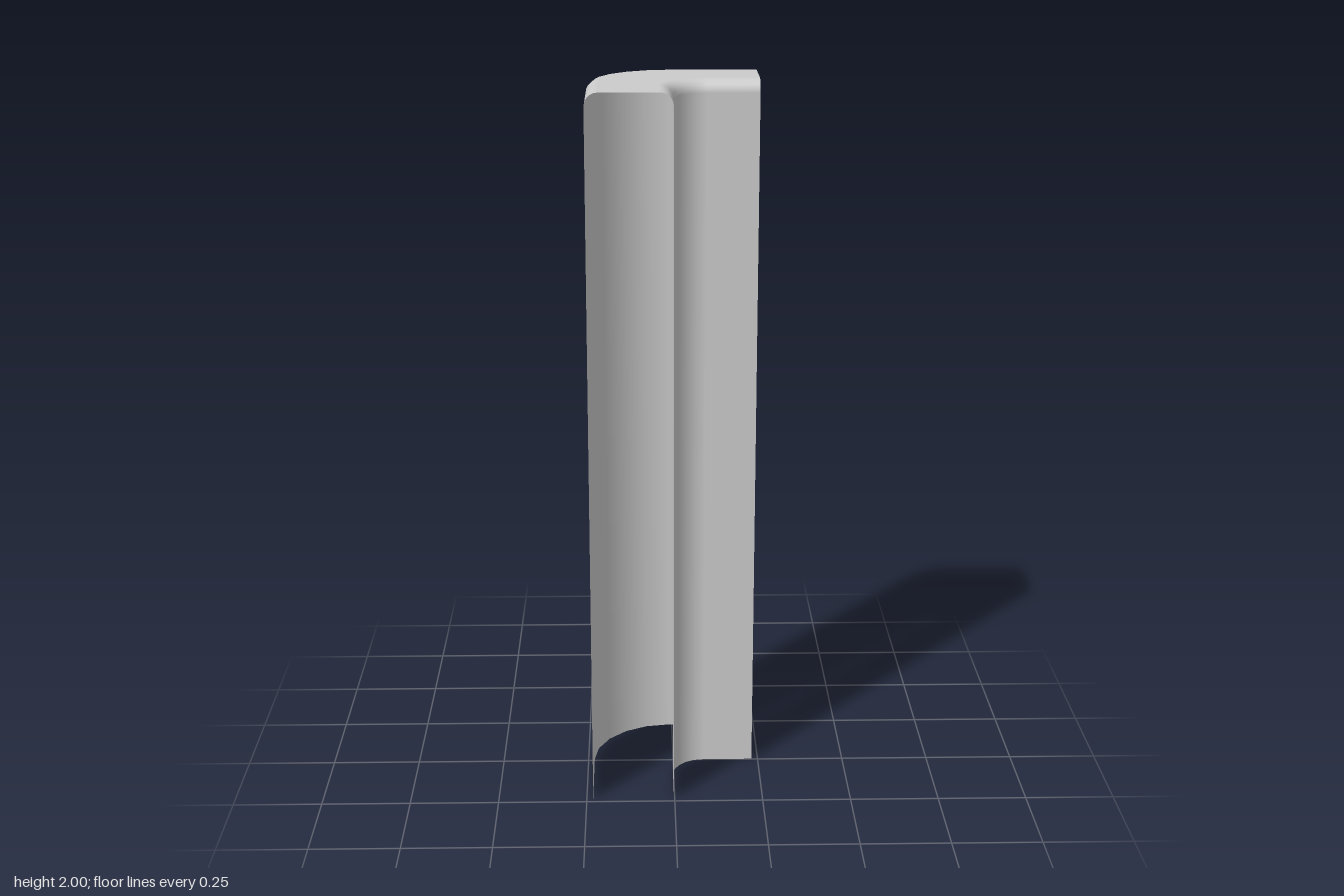
import * as THREE from 'three';

const HEIGHT = 2, END = 0.232, FILLET = 0.036, ARC_STEPS = 5, FILLET_STEPS = 5;
const OUTER = { c: -0.008, r: 0.224 }; // bend centre (x = z = c) and radius
const INNER = { c: 0.09, r: 0.092 };

// Stations along the bend: outer point, inner point and outward direction
function buildStations() {
  const stations = [];
  for (let i = 0; i <= ARC_STEPS; i++) {
    const a = (i / ARC_STEPS) * Math.PI / 2;
    const dir = new THREE.Vector2(-Math.cos(a), -Math.sin(a));
    const at = ({ c, r }) => new THREE.Vector2(c, c).addScaledVector(dir, r);
    stations.push({ dir, outer: at(OUTER), inner: at(INNER) });
  }
  // straight legs out to the two open ends
  const extend = (s, axis) => {
    const e = { dir: s.dir, outer: s.outer.clone(), inner: s.inner.clone() };
    e.outer[axis] = e.inner[axis] = END;
    return e;
  };
  return [extend(stations[0], 'y'), ...stations, extend(stations[ARC_STEPS], 'x')];
}

// Upside-down U section: d = distance in from the wall, y = height, (n, ny) = normal
function buildProfile() {
  const half = [{ d: 0, y: 0, n: 1, ny: 0 }];
  for (let i = 0; i <= FILLET_STEPS; i++) {
    const a = (i / FILLET_STEPS) * Math.PI / 2;
    half.push({
      d: FILLET * (1 - Math.cos(a)), y: HEIGHT - FILLET * (1 - Math.sin(a)),
      n: Math.cos(a), ny: Math.sin(a),
    });
  }
  const mirrored = half.slice().reverse().map(p => ({ ...p, n: -p.n, isInner: true }));
  return [...half, ...mirrored];
}

function sweepShell() {
  const stations = buildStations(), profile = buildProfile();
  const positions = [], normals = [], index = [], m = profile.length;
  stations.forEach(({ dir, outer, inner }, i) => {
    profile.forEach((p, j) => {
      const base = p.isInner ? inner : outer;
      const shift = p.isInner ? p.d : -p.d;
      positions.push(base.x + dir.x * shift, p.y, base.y + dir.y * shift);
      normals.push(dir.x * p.n, p.ny, dir.y * p.n);
      if (i > 0 && j > 0) {
        const b = i * m + j, a = b - m;
        index.push(a - 1, a, b - 1, a, b, b - 1);
      }
    });
  });
  const geometry = new THREE.BufferGeometry();
  geometry.setAttribute('position', new THREE.Float32BufferAttribute(positions, 3));
  geometry.setAttribute('normal', new THREE.Float32BufferAttribute(normals, 3));
  geometry.setIndex(index);
  return geometry;
}

export function createModel() {
  const group = new THREE.Group();
  group.name = 'cornerWall';
  // Thin curved wall shell, open at both ends and underneath
  const shell = new THREE.Mesh(
    sweepShell(),
    new THREE.MeshStandardMaterial({ color: 0xcccccc, side: THREE.DoubleSide }),
  );
  shell.name = 'wallShell';
  group.add(shell);
  return group;
}
